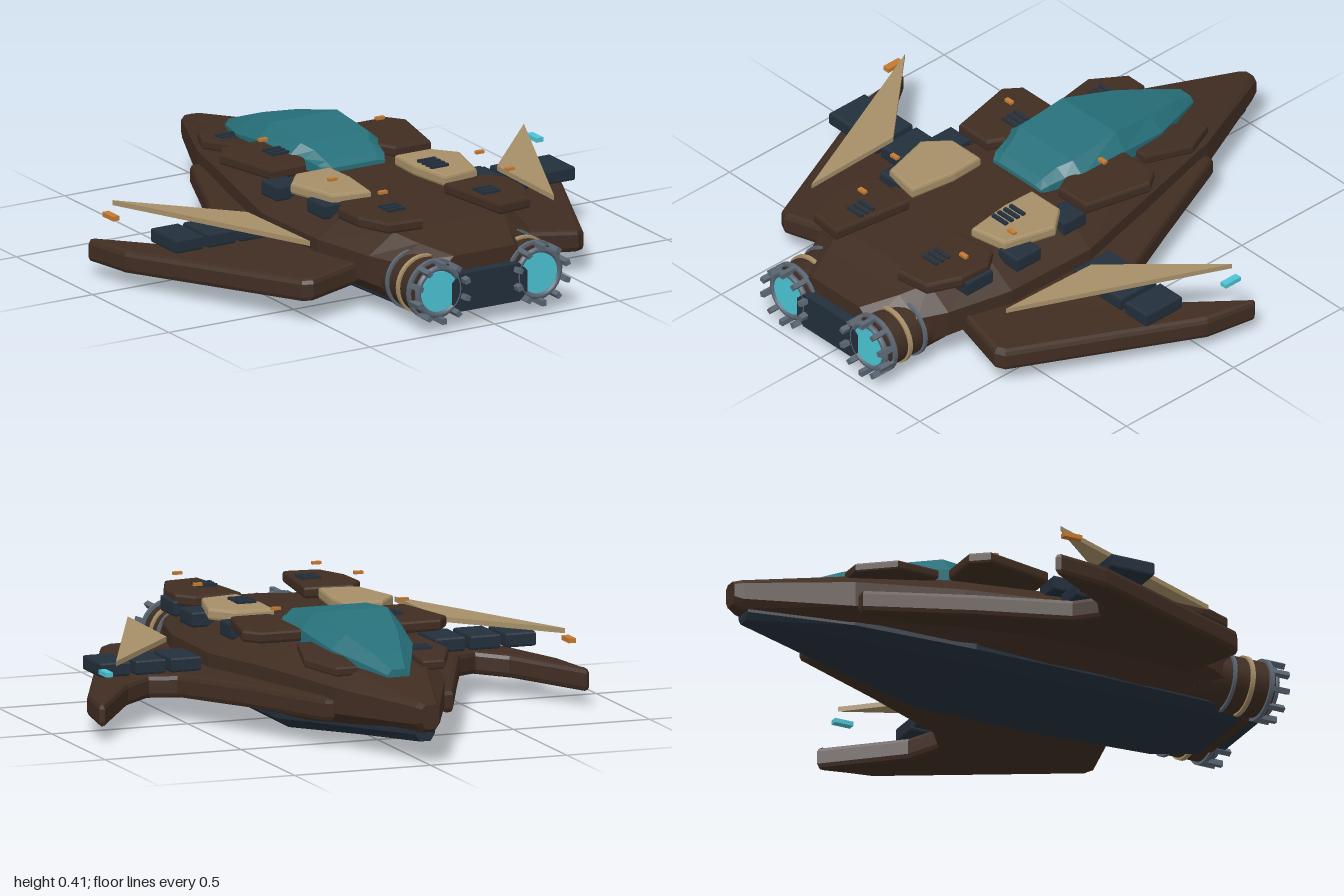
import * as THREE from 'three';

const paint = (name, color) => {
  const m = new THREE.MeshStandardMaterial({ color });
  m.name = name;
  return m;
};

export function createModel() {
  const brown = paint('hull brown', 0x402d22);
  const tan = paint('panel tan', 0xa68f68);
  const glass = paint('canopy teal', 0x27707a);
  const glow = paint('engine glow', 0x4cc4d4);
  const dark = paint('dark slate', 0x232f3b);
  const grey = paint('steel grey', 0x5a6673);
  const orange = paint('orange marker', 0xc47a30);

  const ship = new THREE.Group();
  ship.name = 'spacecraft';

  function add(name, geo, mat, x = 0, y = 0, z = 0, parent = ship) {
    const mesh = new THREE.Mesh(geo, mat);
    mesh.name = name;
    mesh.position.set(x, y, z);
    parent.add(mesh);
    return mesh;
  }
  // Eight-sided symmetric cross-section, counter-clockwise seen from +z
  function octagon([z, top, wide, bottom, yTop, yHigh, yLow, yBottom]) {
    const half = [[bottom, yBottom], [wide, yLow], [wide, yHigh], [top, yTop]];
    const other = half.map(([x, y]) => [-x, y]).reverse();
    return [...half, ...other].map(([x, y]) => [x, y, z]);
  }
  // Faceted skin through cross-sections ordered from nose to tail
  function loft(sections) {
    const rings = sections.map(octagon);
    const n = 8, index = [];
    for (let i = 0; i < rings.length - 1; i++) {
      for (let j = 0; j < n; j++) {
        const a = i * n + j, b = i * n + (j + 1) % n;
        index.push(a, b, a + n, b, b + n, a + n);
      }
    }
    const end = (rings.length - 1) * n;
    for (let j = 1; j < n - 1; j++) {
      index.push(0, j + 1, j, end, end + j, end + j + 1);
    }
    const g = new THREE.BufferGeometry();
    g.setAttribute('position', new THREE.Float32BufferAttribute(rings.flat(2), 3));
    g.setIndex(index);
    const flat = g.toNonIndexed();
    flat.computeVertexNormals();
    return flat;
  }
  // Bevelled slab from an [x, z] outline, standing on y = 0
  function slab(outline, height, bevel) {
    const shape = new THREE.Shape(outline.map(([x, z]) => new THREE.Vector2(x, -z)));
    const g = new THREE.ExtrudeGeometry(shape, {
      depth: height - 2 * bevel, bevelEnabled: bevel > 0, bevelThickness: bevel,
      bevelSize: bevel, bevelOffset: -bevel, bevelSegments: 2,
    });
    g.translate(0, 0, bevel);
    return g.rotateX(-Math.PI / 2);
  }
  const block = (x0, x1, z0, z1, h) => slab([[x0, z0], [x1, z0], [x1, z1], [x0, z1]], h, 0.008);
  const flip = (outline, s) => outline.map(([x, z]) => [s * x, z]);
  // Move every vertex vertically by a rule
  function lift(g, rule) {
    const p = g.attributes.position;
    for (let i = 0; i < p.count; i++) p.setY(i, p.getY(i) + rule(Math.abs(p.getX(i)), p.getZ(i)));
    g.computeVertexNormals();
    return g;
  }

  // Main hull and darker keel
  add('hull', loft([
    [-1, 0.018, 0.032, 0.018, 0.21, 0.195, 0.15, 0.125],
    [-0.97, 0.03, 0.046, 0.025, 0.217, 0.2, 0.14, 0.11],
    [-0.62, 0.13, 0.2, 0.12, 0.265, 0.215, 0.125, 0.065],
    [-0.25, 0.2, 0.3, 0.2, 0.3, 0.225, 0.125, 0.02],
    [0.1, 0.25, 0.385, 0.22, 0.31, 0.22, 0.135, 0.02],
    [0.46, 0.25, 0.38, 0.22, 0.305, 0.22, 0.135, 0.025],
    [0.7, 0.22, 0.32, 0.21, 0.285, 0.215, 0.12, 0.03],
    [0.8, 0.18, 0.27, 0.19, 0.265, 0.21, 0.1, 0.035],
    [0.93, 0.12, 0.17, 0.14, 0.245, 0.2, 0.09, 0.045],
  ]), brown);
  add('keel', loft([
    [-0.95, 0.03, 0.035, 0.02, 0.15, 0.12, 0.1, 0.075],
    [-0.6, 0.1, 0.155, 0.11, 0.12, 0.1, 0.075, 0.045],
    [-0.18, 0.2, 0.25, 0.2, 0.08, 0.06, 0.035, 0],
    [0.3, 0.2, 0.25, 0.2, 0.08, 0.055, 0.035, 0.003],
    [0.72, 0.18, 0.23, 0.19, 0.08, 0.055, 0.04, 0.015],
    [0.88, 0.12, 0.17, 0.14, 0.08, 0.07, 0.05, 0.03],
  ]), dark);

  // Canopy
  add('canopy', loft([
    [-0.7, 0.025, 0.04, 0.03, 0.28, 0.262, 0.25, 0.22],
    [-0.6, 0.05, 0.085, 0.07, 0.318, 0.285, 0.265, 0.23],
    [-0.45, 0.095, 0.15, 0.14, 0.362, 0.315, 0.285, 0.24],
    [-0.25, 0.135, 0.182, 0.17, 0.407, 0.35, 0.31, 0.26],
    [-0.05, 0.135, 0.185, 0.17, 0.387, 0.345, 0.31, 0.27],
    [0, 0.11, 0.15, 0.14, 0.37, 0.345, 0.31, 0.28],
    [0.06, 0.1, 0.135, 0.12, 0.345, 0.335, 0.31, 0.28],
    [0.085, 0.09, 0.12, 0.11, 0.325, 0.32, 0.31, 0.28],
  ]), glass);

  // Engine block between the nozzles
  add('engineBlock', loft([
    [0.75, 0.12, 0.15, 0.12, 0.19, 0.16, 0.085, 0.055],
    [0.97, 0.12, 0.15, 0.12, 0.19, 0.16, 0.085, 0.055],
  ]), dark);

  const wing = [[0.2, -0.61], [0.235, -0.61], [0.39, -0.25], [0.52, 0.05], [0.6, 0.11], [0.7, 0.05],
    [0.885, -0.205], [0.9, -0.19], [0.87, 0], [0.565, 0.66], [0.53, 0.68], [0.33, 0.635], [0.2, 0.6]];
  const fin = [[0.825, -0.155], [0.5, 0.2], [0.49, 0.59]];
  const frontPanel = [[0.12, -0.62], [0.2, -0.62], [0.265, -0.49], [0.22, -0.31], [0.12, -0.31]];
  const midPanel = [[0.15, -0.25], [0.33, -0.25], [0.375, -0.19], [0.32, 0.06], [0.18, 0.06], [0.15, 0]];
  const tanPanel = [[0.13, 0.135], [0.27, 0.135], [0.34, 0.22], [0.29, 0.41], [0.15, 0.435], [0.125, 0.26]];
  const rearPanel = [[0.115, 0.48], [0.29, 0.465], [0.34, 0.53], [0.335, 0.65], [0.285, 0.77], [0.155, 0.785]];

  for (const s of [1, -1]) {
    const side = s > 0 ? 'left' : 'right';
    const half = new THREE.Group();
    half.name = side + 'Side';
    ship.add(half);
    const put = (name, geo, mat, x = 0, y = 0, z = 0) => add(name, geo, mat, x, y, z, half);

    // Drooping wing with forward prong, floating fin plate and tip light
    put('wing', lift(slab(flip(wing, s), 0.082, 0.018),
      (x) => 0.095 - 0.085 * Math.max(0, x - 0.35)), brown);
    put('wingFin', slab(flip(fin, s), 0.018, 0), tan, 0, 0.25, 0);
    put('tipLight', new THREE.BoxGeometry(0.026, 0.016, 0.07), s > 0 ? glow : orange, s * 0.85, 0.223, -0.125);
    for (const x of [0.43, 0.56, 0.69]) {
      put('wingPod', block(s * x, s * (x + 0.11), 0.055, 0.22, 0.052), dark, 0, 0.17, 0);
    }

    // Armour panels along the back
    put('frontPanel', lift(slab(flip(frontPanel, s), 0.035, 0.008),
      (x, z) => 0.252 + (z + 0.62) * 0.11), brown);
    put('midPanel', slab(flip(midPanel, s), 0.042, 0.01), brown, 0, 0.31, 0);
    put('tanPanel', slab(flip(tanPanel, s), 0.042, 0.01), tan, 0, 0.31, 0);
    put('rearPanel', slab(flip(rearPanel, s), 0.042, 0.01), brown, 0, 0.305, 0);

    // Equipment boxes under the panel edges
    const boxes = [s > 0 ? [0.22, 0.32, 0.06, 0.16] : [0.26, 0.36, 0.06, 0.16],
      s > 0 ? [0.27, 0.365, 0.31, 0.42] : [0.23, 0.33, 0.31, 0.42]];
    if (s > 0) boxes.push([0.26, 0.35, 0.52, 0.64]);
    for (const [x0, x1, z0, z1] of boxes) {
      put('equipmentBox', block(s * x0, s * x1, z0, z1, 0.055), dark, 0, 0.268, 0);
    }

    // Vent slats: x, first z, count, top height
    const vents = [[0.19, 0.61, 3, 0.35]];
    if (s > 0) vents.push([0.185, 0.255, 4, 0.355]);
    else vents.push([0.205, -0.125, 3, 0.355], [0.17, -0.49, 3, 0.303]);
    for (const [x, z, count, y] of vents) {
      for (let i = 0; i < count; i++) {
        put('ventSlat', new THREE.BoxGeometry(0.07, 0.012, 0.014), dark, s * x, y, z + i * 0.027);
      }
    }

    // Small hovering markers
    const markers = s > 0 ? [[0.22, -0.11], [0.31, 0.395], [0.3, 0.61]] : [[0.25, -0.11], [0.28, 0.395], [0.21, 0.61]];
    for (const [x, z] of markers) {
      put('marker', new THREE.BoxGeometry(0.032, 0.01, 0.016), orange, s * x, 0.402, z);
    }

    // Engine: barrel, bands, nozzle, glowing disc and ring of clamps
    const engine = new THREE.Group();
    engine.name = side + 'Engine';
    engine.position.set(s * 0.2, 0.14, 0);
    half.add(engine);
    const drum = (name, r, z0, z1, mat) => add(name,
      new THREE.CylinderGeometry(r, r, z1 - z0, 32).rotateX(Math.PI / 2), mat, 0, 0, (z0 + z1) / 2, engine);
    drum('barrel', 0.098, 0.65, 0.95, brown);
    drum('frontBand', 0.108, 0.785, 0.797, grey);
    drum('tanBand', 0.106, 0.852, 0.868, tan);
    drum('rearBand', 0.109, 0.925, 0.94, grey);
    drum('nozzle', 0.09, 0.94, 0.96, dark);
    drum('glowDisc', 0.072, 0.955, 0.965, glow);
    add('nozzleRing', new THREE.TorusGeometry(0.083, 0.011, 8, 32), grey, 0, 0, 0.96, engine);
    for (let i = 0; i < 10; i++) {
      const a = (i + 0.5) * Math.PI / 5;
      const clamp = add('clamp', new THREE.BoxGeometry(0.02, 0.018, 0.065), grey,
        Math.cos(a) * 0.099, Math.sin(a) * 0.099, 0.9675, engine);
      clamp.rotation.z = a;
    }
  }
  return ship;
}
